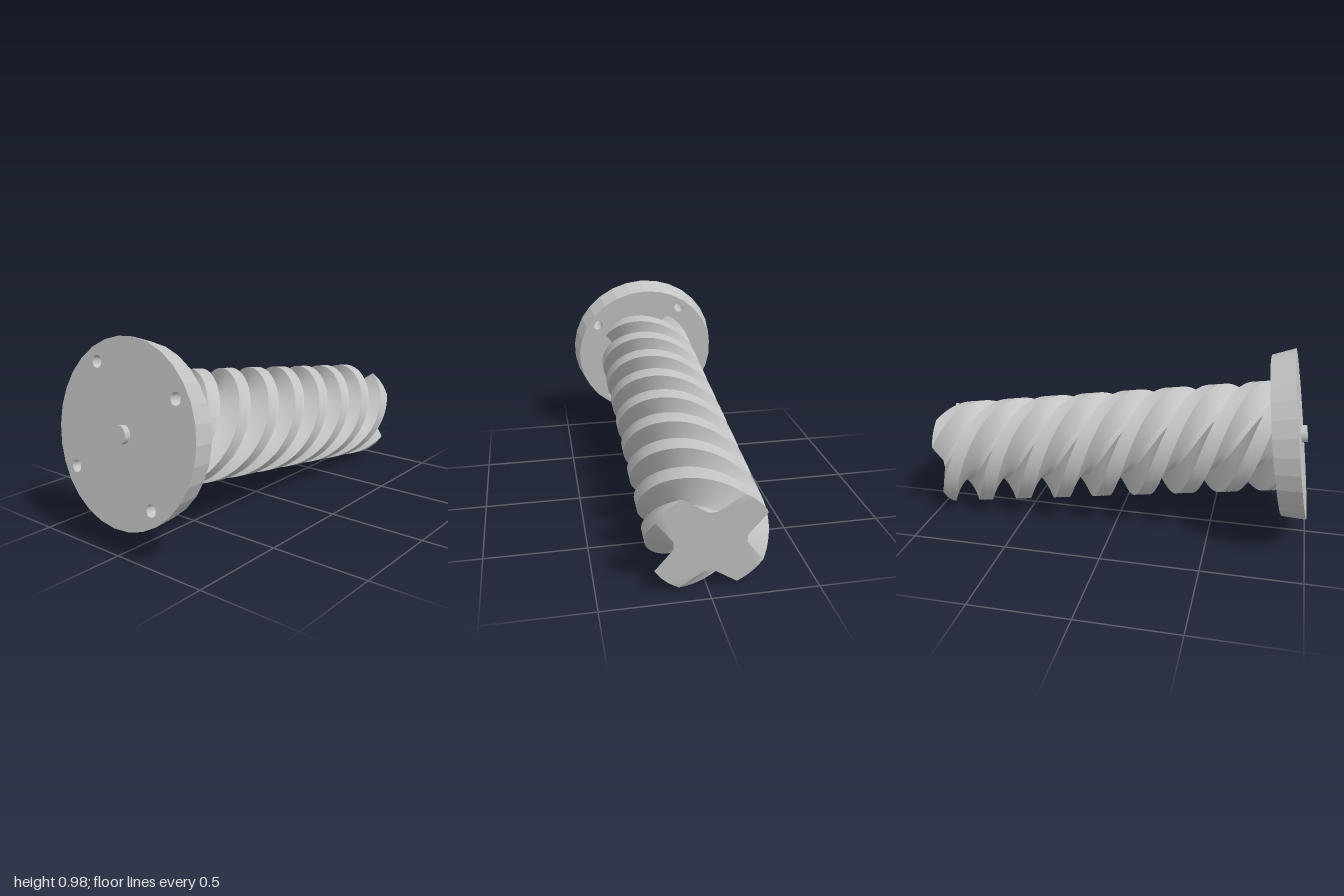
import * as THREE from 'three';
import { toCreasedNormals } from 'three/addons/utils/BufferGeometryUtils.js';

const DEG = Math.PI / 180;
const polar = (r, deg) => new THREE.Vector2(r * Math.cos(deg * DEG), r * Math.sin(deg * DEG));

// Four-start screw: a cross-shaped profile twisted two full turns
function screwGeometry(length, turns) {
  const pts = [];
  for (let i = 0; i < 4; i++) {
    const a = 45 + i * 90;
    pts.push(polar(0.165, a - 38));
    for (const d of [-16.5, -5.5, 5.5, 16.5]) pts.push(polar(0.28, a + d));
    pts.push(polar(0.165, a + 38));
  }
  const geo = new THREE.ExtrudeGeometry(new THREE.Shape(pts), {
    depth: length, steps: 288, bevelEnabled: false,
  });
  const pos = geo.attributes.position;
  const v = new THREE.Vector3();
  const axis = new THREE.Vector3(0, 0, 1);
  for (let i = 0; i < pos.count; i++) {
    v.fromBufferAttribute(pos, i);
    v.applyAxisAngle(axis, -turns * 2 * Math.PI * v.z / length);
    pos.setXYZ(i, v.x, v.y, v.z);
  }
  return toCreasedNormals(geo, 0.6);
}

// Thirty-sided flange, slightly narrower at the back, with four bolt holes
function flangeGeometry(rFront, rBack, depth) {
  const pts = [];
  for (let i = 0; i < 30; i++) pts.push(polar(rFront, 4 + i * 12));
  const shape = new THREE.Shape(pts);
  for (let i = 0; i < 4; i++) {
    const c = polar(0.36, 34.7 + i * 90);
    shape.holes.push(new THREE.Path().absarc(c.x, c.y, 0.029, 0, Math.PI * 2, true));
  }
  const geo = new THREE.ExtrudeGeometry(shape, { depth, bevelEnabled: false, curveSegments: 24 });
  const pos = geo.attributes.position;
  for (let i = 0; i < pos.count; i++) {
    const x = pos.getX(i), y = pos.getY(i);
    if (pos.getZ(i) < depth / 2 && Math.hypot(x, y) > 0.41) {
      pos.setXY(i, x * rBack / rFront, y * rBack / rFront);
    }
  }
  geo.computeVertexNormals();
  return geo;
}

export function createModel() {
  const metal = new THREE.MeshStandardMaterial({ color: 0xc4c4c4 });
  metal.name = 'grey metal';

  const model = new THREE.Group();
  model.name = 'flangedScrew';
  // Local z runs along the tilted screw axis, with the flange face at zero
  const body = new THREE.Group();
  body.name = 'tiltedBody';
  body.position.set(0, 0.57, 0.935);
  body.rotation.x = -8.7 * DEG;
  model.add(body);

  const add = (name, geo, z) => {
    const mesh = new THREE.Mesh(geo, metal);
    mesh.name = name;
    mesh.position.z = z;
    body.add(mesh);
  };

  add('screw', screwGeometry(1.8, 2), -1.92);
  add('flange', flangeGeometry(0.4325, 0.41, 0.12), -0.12);
  add('centrePin', new THREE.CylinderGeometry(0.043, 0.043, 0.05, 30).rotateX(Math.PI / 2), 0.005);

  return model;
}
